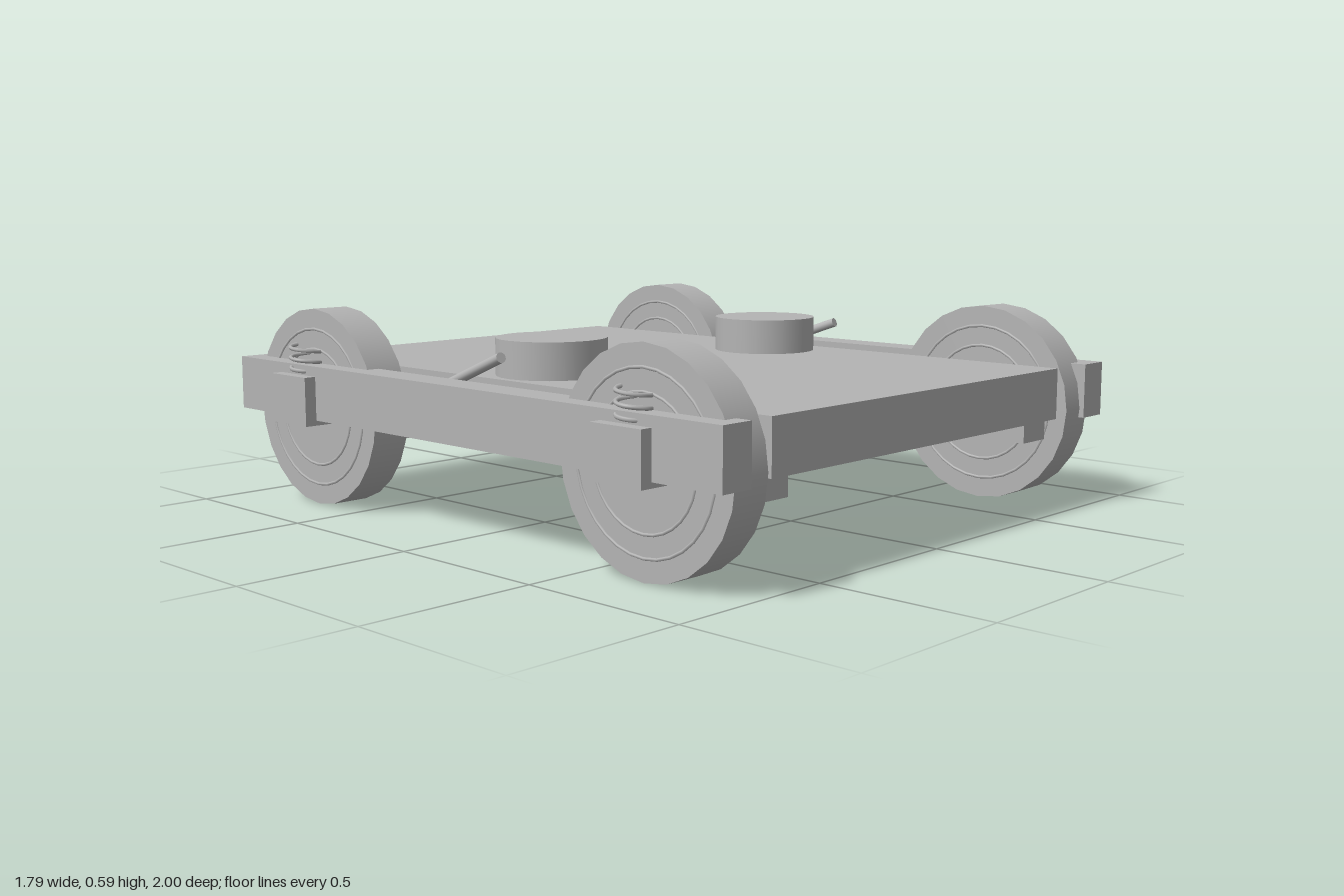
import * as THREE from 'three';

export function createModel() {
  const model = new THREE.Group();
  model.name = 'railTruck';
  const grey = new THREE.MeshStandardMaterial({ color: 0xb4b4b4 });
  grey.name = 'plain grey';

  const add = (name, geometry, x, y, z, parent = model) => {
    const mesh = new THREE.Mesh(geometry, grey);
    mesh.name = name;
    mesh.position.set(x, y, z);
    parent.add(mesh);
    return mesh;
  };
  // Box given by its limits on each axis
  const box = (name, x0, x1, y0, y1, z0, z1) =>
    add(name, new THREE.BoxGeometry(x1 - x0, y1 - y0, z1 - z0),
      (x0 + x1) / 2, (y0 + y1) / 2, (z0 + z1) / 2);

  const wheelRadius = 0.296;
  const wheelZ = 0.69;

  // Flat deck
  box('deck', -0.65, 0.65, 0.275, 0.425, -0.975, 0.97);

  // Coil spring path
  const points = [];
  const turns = 2.75;
  for (let i = 0; i <= 44; i++) {
    const a = (i / 44) * turns * Math.PI * 2;
    points.push(new THREE.Vector3(0.043 * Math.cos(a), 0.085 * i / 44, 0.043 * Math.sin(a)));
  }
  const springGeometry = new THREE.TubeGeometry(new THREE.CatmullRomCurve3(points), 88, 0.006, 6);
  const wheelGeometry = new THREE.CylinderGeometry(wheelRadius, wheelRadius, 0.116, 24);
  wheelGeometry.rotateZ(Math.PI / 2);

  // Axles through both wheels
  for (const z of [-wheelZ, wheelZ]) {
    const axle = new THREE.CylinderGeometry(0.051, 0.051, 1.7, 20);
    axle.rotateZ(Math.PI / 2);
    add('axle', axle, 0, wheelRadius, z);
  }

  for (const s of [-1, 1]) {
    const sideBox = (name, a, b, ...rest) => box(name, Math.min(s * a, s * b), Math.max(s * a, s * b), ...rest);

    // Long side rail
    sideBox('sideRail', 0.757, 0.857, 0.27, 0.43, -1, 1);

    // Round drum on the deck
    add('drum', new THREE.CylinderGeometry(0.16, 0.16, 0.11, 24), s * 0.467, 0.477, 0);

    // Slanted lever between deck and rail
    const low = new THREE.Vector3(s * 0.669, 0.362, -0.3);
    const high = new THREE.Vector3(s * 0.727, 0.5, 0.085);
    const dir = high.clone().sub(low);
    const lever = add('lever', new THREE.CylinderGeometry(0.015, 0.015, dir.length(), 12), 0, 0, 0);
    lever.position.copy(low).add(high).multiplyScalar(0.5);
    lever.quaternion.setFromUnitVectors(new THREE.Vector3(0, 1, 0), dir.normalize());

    for (const z of [-wheelZ, wheelZ]) {
      // Wheel with slim raised rings on both faces
      const wheel = new THREE.Group();
      wheel.name = 'wheel';
      wheel.position.set(s * 0.739, wheelRadius, z);
      model.add(wheel);
      add('wheelDisc', wheelGeometry, 0, 0, 0, wheel);
      for (const face of [-1, 1]) {
        for (const r of [0.175, 0.235]) {
          const ring = new THREE.TorusGeometry(r, 0.005, 6, 32);
          ring.rotateY(Math.PI / 2);
          add('wheelRing', ring, face * 0.057, 0, 0, wheel);
        }
      }

      // Axle box with its spring, and brake block under the deck
      sideBox('axleBox', 0.765, 0.893, 0.255, 0.4, z - 0.087, z + 0.087);
      add('spring', springGeometry, s * 0.83, 0.4, z);
      sideBox('brakeBlock', 0.54, 0.654, 0.21, 0.28, z + 0.16, z + 0.24);
    }
  }
  return model;
}
